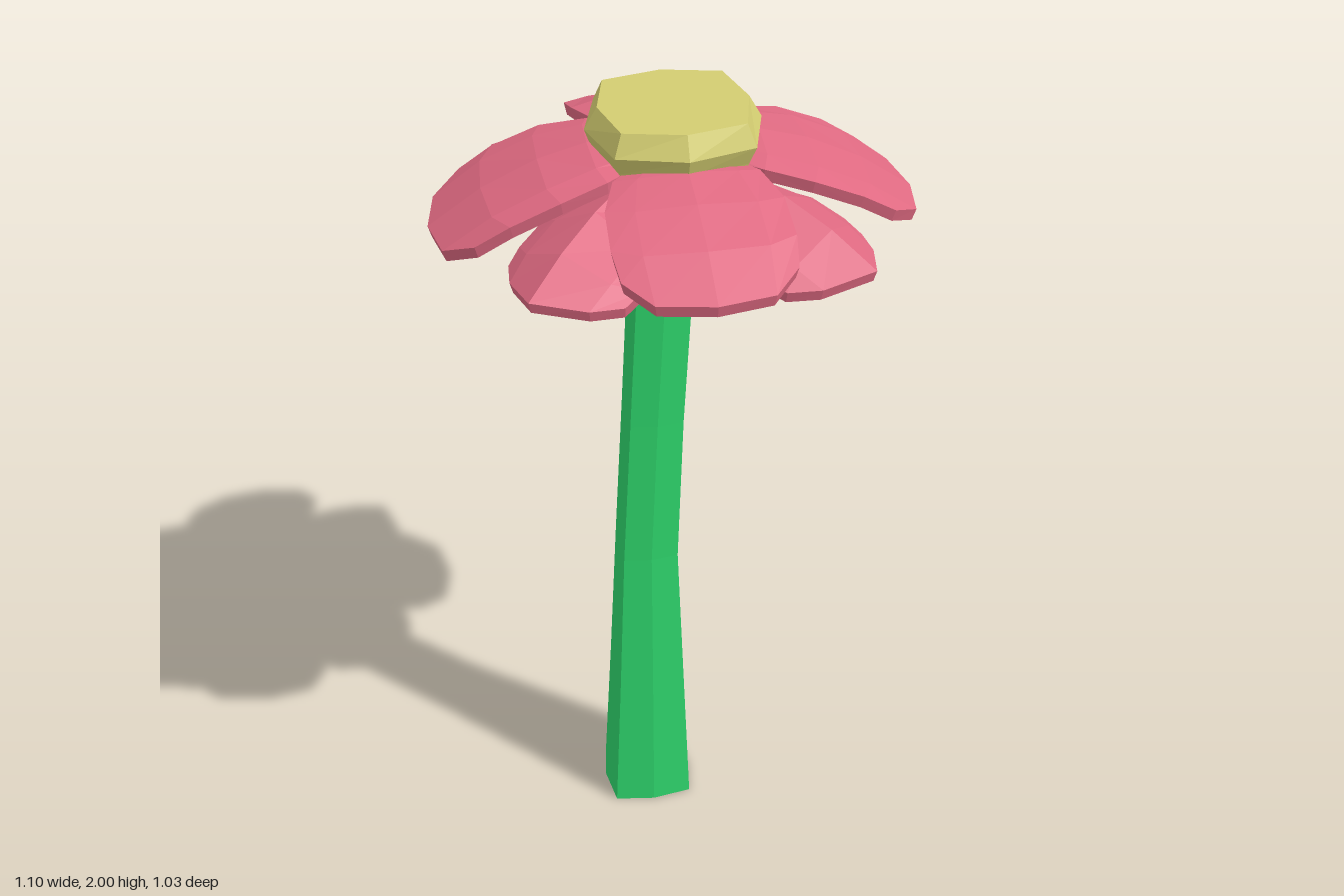
import * as THREE from 'three';

const mat = (name, color) => {
  const m = new THREE.MeshStandardMaterial({ color });
  m.name = name;
  return m;
};

// Skin a closed solid over matching rings of [x, y, z]; facets stay flat.
function loft(rings) {
  const n = rings[0].length;
  const index = [];
  const quad = (a, b, c, d) => index.push(a, b, c, a, c, d);
  for (let i = 0; i < rings.length - 1; i++) {
    for (let j = 0; j < n; j++) {
      const k = (j + 1) % n;
      quad(i * n + j, i * n + k, (i + 1) * n + k, (i + 1) * n + j);
    }
  }
  const top = (rings.length - 1) * n;
  for (let j = 0; j < n / 2 - 1; j++) {
    quad(n - 1 - j, n - 2 - j, j + 1, j);
    quad(top + j, top + j + 1, top + n - 2 - j, top + n - 1 - j);
  }
  const g = new THREE.BufferGeometry();
  g.setAttribute('position', new THREE.Float32BufferAttribute(rings.flat(2), 3));
  g.setIndex(index);
  const flat = g.toNonIndexed();
  flat.computeVertexNormals();
  return flat;
}

// Eight-sided ring with points on the axes and squarish corners.
function octagon(y, cx, r, corner) {
  const ring = [];
  for (let k = 0; k < 8; k++) {
    const a = (k * Math.PI) / 4;
    const s = k % 2 ? r * corner * Math.SQRT2 : r;
    ring.push([cx + Math.cos(a) * s, y, -Math.sin(a) * s]);
  }
  return ring;
}

// Height along a petal: level at the root, bending down to the tip.
const bend = [[0, 0], [0.35, 0.03], [0.55, 0.2], [0.75, 0.47], [1, 1]];
function fall(u) {
  for (let i = 1; i < bend.length; i++) {
    const [u0, f0] = bend[i - 1], [u1, f1] = bend[i];
    if (u <= u1) return f0 + ((f1 - f0) * (u - u0)) / (u1 - u0);
  }
  return 1;
}

// Rows hold [distance at middle, at shoulder, at edge, half width].
function petal({ rows, length, rootY, tipY, droop, power, thick }) {
  const cols = [-1, -0.68, 0, 0.68, 1];
  return loft(rows.map(([mid, shoulder, edge, w]) => {
    const upper = cols.map((s) => {
      const u = s === 0 ? mid : Math.abs(s) < 1 ? shoulder : edge;
      const y = rootY + (tipY - rootY) * fall(u) - droop * Math.abs(s) ** power;
      return [u * length, y, s * w];
    });
    const lower = upper.map(([x, y, z]) => [x * 0.985, y - thick, z * 0.97]).reverse();
    return [...upper, ...lower];
  }));
}

export function createModel() {
  const model = new THREE.Group();
  model.name = 'flower';
  const green = mat('stem green', 0x2ed56c);
  const pink = mat('petal pink', 0xe06a82);
  const yellow = mat('centre yellow', 0xd3cd71);

  const add = (name, geometry, material, angle = 0) => {
    const mesh = new THREE.Mesh(geometry, material);
    mesh.name = name;
    mesh.rotation.y = angle;
    mesh.position.z = -0.01;
    model.add(mesh);
  };

  // Leaning stem with a flared collar at the top
  add('stem', loft([
    [0, -0.074, 0.115], [0.4, -0.071, 0.096], [0.8, -0.069, 0.078],
    [1.2, -0.051, 0.074], [1.76, -0.021, 0.075], [1.81, -0.008, 0.108], [1.86, 0, 0.108],
  ].map(([y, x, r]) => octagon(y, x, r, 0.87))), green);

  // Faceted flower centre
  add('flowerCentre', loft([
    octagon(1.87, 0, 0.17, 0.77), octagon(1.908, 0, 0.182, 0.77),
    octagon(1.95, 0, 0.197, 0.78), octagon(2, 0, 0.168, 0.81),
  ]), yellow);

  // Four broad upper petals
  const upperRows = [
    [0.1, 0.1, 0.1, 0.07], [0.35, 0.34, 0.31, 0.16], [0.55, 0.54, 0.5, 0.192],
    [0.78, 0.76, 0.7, 0.196], [1, 0.96, 0.84, 0.186],
  ];
  for (let k = 0; k < 4; k++) {
    const side = k % 2 === 0;
    add('upperPetal', petal({
      rows: upperRows, length: side ? 0.55 : 0.513, rootY: 1.925,
      tipY: side ? 1.748 : 1.785, droop: 0.02, power: 2, thick: 0.028,
    }), pink, (k * Math.PI) / 2);
  }

  // Four ridged lower petals between them
  const lowerRows = [
    [0.1, 0.1, 0.1, 0.06], [0.35, 0.34, 0.31, 0.13], [0.55, 0.54, 0.5, 0.165],
    [0.78, 0.74, 0.66, 0.165], [1, 0.87, 0.76, 0.155],
  ];
  for (let k = 0; k < 4; k++) {
    add('lowerPetal', petal({
      rows: lowerRows, length: 0.525, rootY: 1.885,
      tipY: 1.75, droop: 0.09, power: 1.2, thick: 0.026,
    }), pink, ((k + 0.5) * Math.PI) / 2);
  }
  return model;
}
